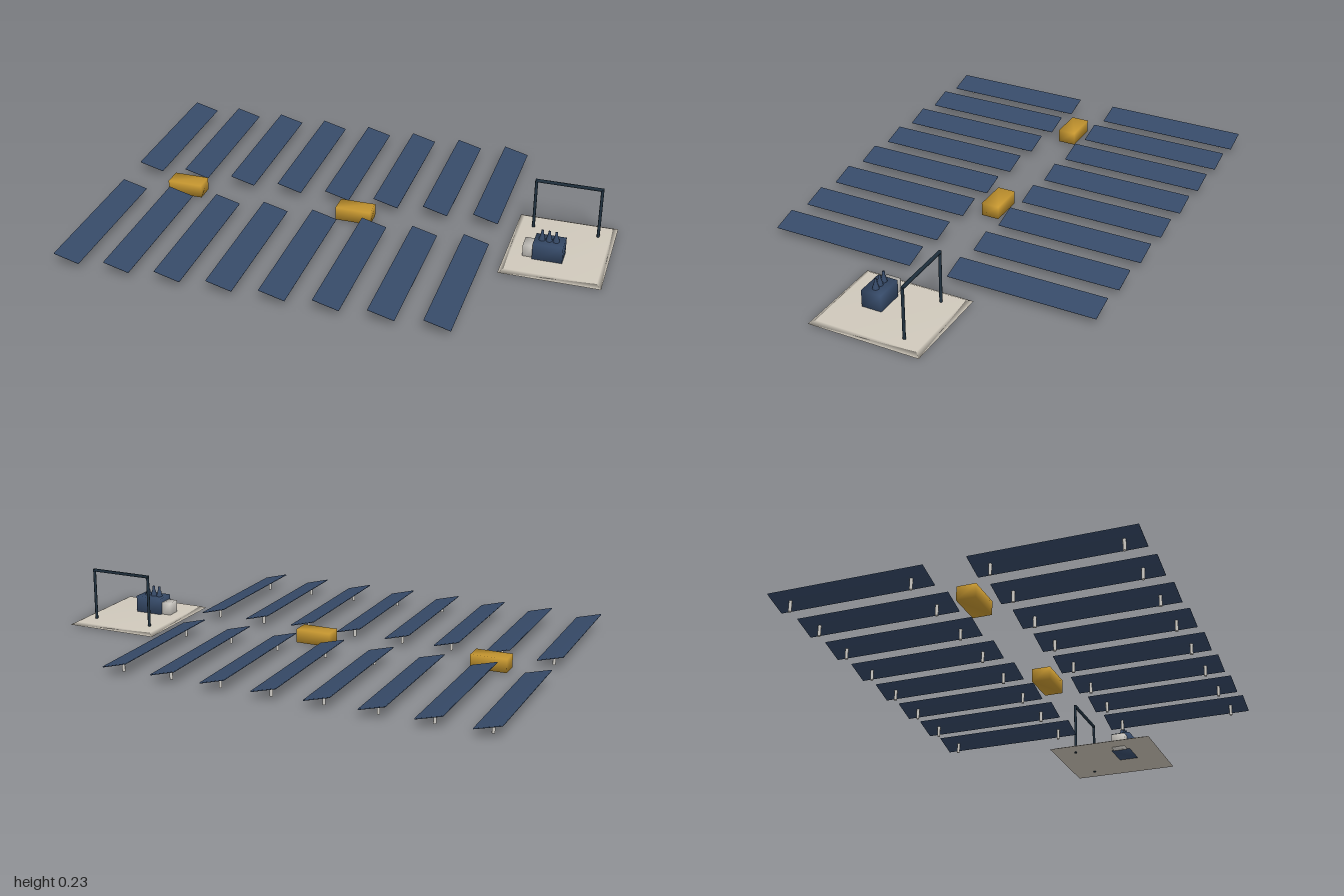
import * as THREE from 'three';
import { mergeVertices } from 'three/addons/utils/BufferGeometryUtils.js';

const mat = (name, color) => {
  const m = new THREE.MeshStandardMaterial({ color });
  m.name = name;
  return m;
};

// Shares corner vertices so that normals run smoothly over the edges
function smooth(geo) {
  geo.deleteAttribute('normal');
  geo.deleteAttribute('uv');
  const g = mergeVertices(geo);
  g.computeVertexNormals();
  return g;
}
const softBox = (w, h, d) => smooth(new THREE.BoxGeometry(w, h, d));

export function createModel() {
  const navy = mat('navy', 0x364a68);
  const dark = mat('dark steel', 0x1f303e);
  const ochre = mat('ochre', 0xc4952f);
  const concrete = mat('concrete', 0xcfc8bb);
  const paleGrey = mat('pale grey', 0xcfccc6);

  const model = new THREE.Group();
  model.name = 'solarFarm';
  const add = (parent, name, geo, material, x, y, z) => {
    const mesh = new THREE.Mesh(geo, material);
    mesh.name = name;
    mesh.position.set(x, y, z);
    parent.add(mesh);
    return mesh;
  };
  const group = (name) => {
    const g = new THREE.Group();
    g.name = name;
    model.add(g);
    return g;
  };

  // Two fields of eight tilted panel rows, each on two posts
  const panelGeo = softBox(0.1035, 0.004, 0.595);
  const postGeo = new THREE.CylinderGeometry(0.006, 0.006, 0.042, 8);
  for (const side of [-1, 1]) {
    const field = group(side < 0 ? 'backPanelField' : 'frontPanelField');
    for (let i = 0; i < 8; i++) {
      const x = -0.9495 + i * 0.206;
      const z = side * 0.3775;
      add(field, 'solarPanel', panelGeo, navy, x, 0.0435, z).rotation.z = -Math.PI / 12;
      for (const end of [-1, 1]) add(field, 'panelPost', postGeo, paleGrey, x, 0.021, z + end * 0.233);
    }
  }

  // Inverter containers in the central aisle
  const inverterGeo = softBox(0.144, 0.054, 0.074);
  for (const x of [-0.746, -0.0215]) add(model, 'inverterContainer', inverterGeo, ochre, x, 0.031, 0);

  // Substation pad with sloping edges
  const padGeo = new THREE.BoxGeometry(0.39, 0.01, 0.448);
  const p = padGeo.attributes.position;
  for (let i = 0; i < p.count; i++) {
    if (p.getY(i) > 0) p.setXYZ(i, p.getX(i) * 0.9, p.getY(i), p.getZ(i) * 0.91);
  }
  const station = group('substation');
  add(station, 'pad', smooth(padGeo), concrete, 0.803, 0.009, 0);

  // Transformer, control cabinet and three stepped bushings
  add(station, 'transformerTank', softBox(0.116, 0.08, 0.081), navy, 0.773, 0.042, 0.066);
  add(station, 'controlCabinet', softBox(0.042, 0.062, 0.058), paleGrey, 0.697, 0.033, 0.066);
  const profile = [[0.013, 0], [0.011, 0.014], [0.008, 0.017], [0.009, 0.022], [0.006, 0.027], [0.005, 0.043], [0, 0.043]];
  const bushingGeo = new THREE.LatheGeometry(profile.map(([r, y]) => new THREE.Vector2(r, y)), 10);
  for (const x of [0.743, 0.77, 0.797]) add(station, 'bushing', bushingGeo, navy, x, 0.08, 0.066);

  // Gantry behind the transformer
  const gantryPost = new THREE.CylinderGeometry(0.006, 0.006, 0.226, 8);
  for (const x of [0.676, 0.932]) add(station, 'gantryPost', gantryPost, dark, x, 0.113, -0.129);
  add(station, 'gantryBeam', softBox(0.264, 0.01, 0.01), dark, 0.804, 0.223, -0.129);

  return model;
}
